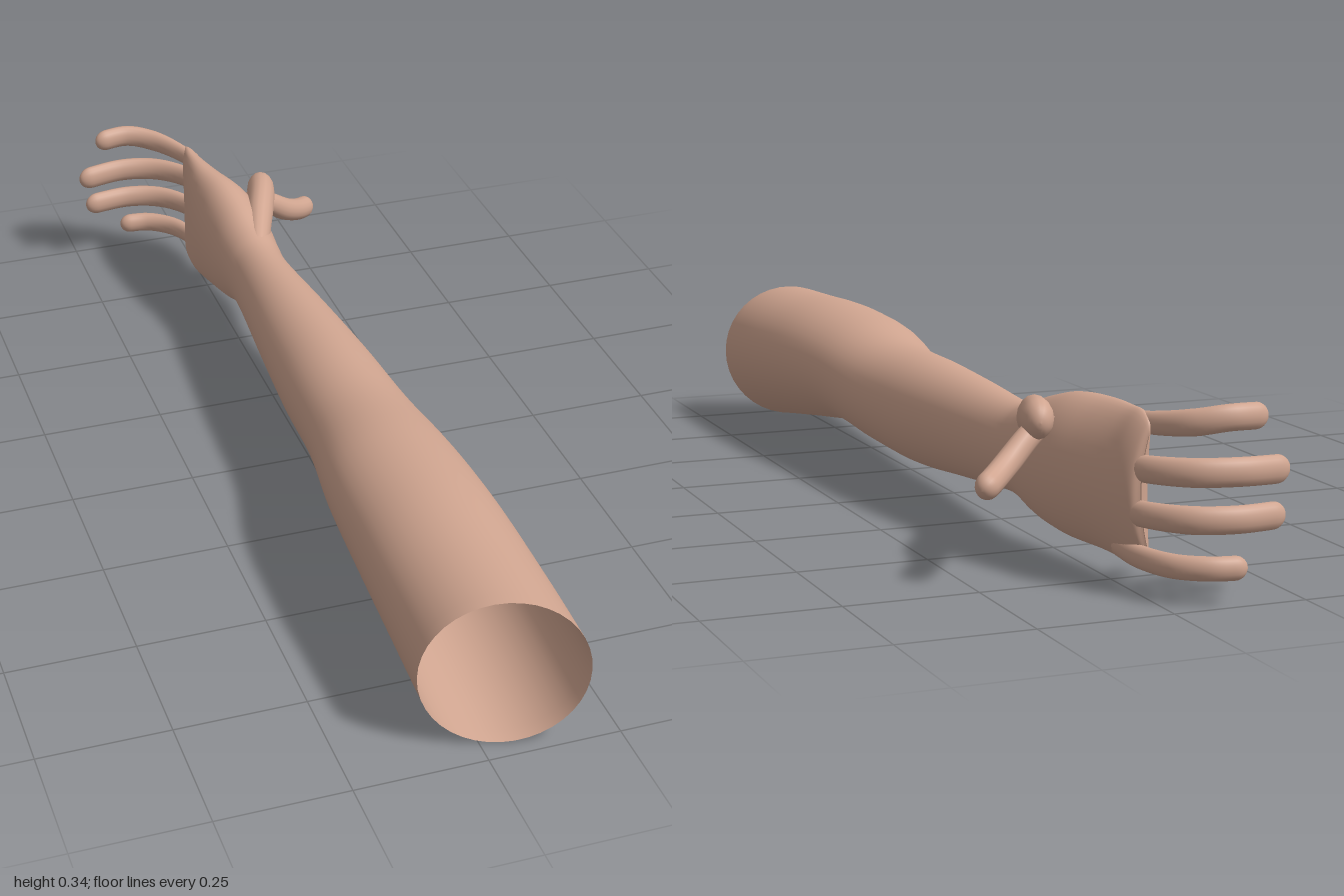
import * as THREE from 'three';

const skin = new THREE.MeshStandardMaterial({ color: 0xd0a590, side: THREE.DoubleSide });
skin.name = 'skin';
const V = (x, y, z) => new THREE.Vector3(x, y, z);

// Smooth skin through rings of points, each ring having `sides` points
function loft(name, rings, sides) {
  const index = [];
  for (let i = 0; i < rings.length - 1; i++) {
    for (let j = 0; j < sides; j++) {
      const a = i * sides + j, b = i * sides + (j + 1) % sides;
      index.push(a, a + sides, b, b, a + sides, b + sides);
    }
  }
  const g = new THREE.BufferGeometry().setFromPoints(rings.flat());
  g.setIndex(index);
  g.computeVertexNormals();
  const mesh = new THREE.Mesh(g, skin);
  mesh.name = name;
  return mesh;
}

// Round-tipped digit along a path; wide = across (roughly y), thin = the other way
function digit(name, points, wide, thin, baseScale = 0.9) {
  const curve = new THREE.CatmullRomCurve3(points.map(p => V(...p)));
  const length = curve.getLength(), sides = 16, steps = 30, rings = [];
  const up = V(0, 1, 0);
  for (let i = 0; i <= steps; i++) {
    const t = 1 - (1 - i / steps) ** 1.7; // denser towards the tip
    const c = curve.getPointAt(t), d = curve.getTangentAt(t);
    const u = d.clone().cross(up).normalize(), v = u.clone().cross(d);
    const s = Math.max(0, 1 - (1 - t) * length / (wide * 1.1));
    const r = Math.sqrt(Math.max(0, 1 - s * s)) * THREE.MathUtils.lerp(baseScale, 1, Math.min(1, t * 2));
    rings.push(Array.from({ length: sides }, (_, j) => {
      const a = j / sides * Math.PI * 2;
      return c.clone().addScaledVector(u, Math.cos(a) * thin * r).addScaledVector(v, Math.sin(a) * wide * r);
    }));
  }
  return loft(name, rings, sides);
}

// Forearm and palm: one open sleeve, closed at the knuckles
function forearmAndPalm() {
  // z, xMin, xMax, yMin, yMax, cupping of the palm
  const sections = [
    [0.96, -0.11, 0.187, 0.003, 0.308, 0],
    [0.8, -0.109, 0.187, 0.028, 0.313, 0],
    [0.6, -0.107, 0.182, 0.057, 0.319, 0],
    [0.4, -0.098, 0.171, 0.08, 0.31, 0],
    [0.2, -0.069, 0.157, 0.071, 0.287, 0],
    [0, -0.06, 0.143, 0.065, 0.284, 0],
    [-0.2, -0.048, 0.122, 0.079, 0.276, 0],
    [-0.4, -0.033, 0.097, 0.093, 0.266, 0],
    [-0.48, -0.034, 0.096, 0.09, 0.276, 0],
    [-0.56, -0.043, 0.1, 0.068, 0.303, -0.005],
    [-0.64, -0.05, 0.092, 0.055, 0.322, -0.01],
    [-0.72, -0.05, 0.068, 0.049, 0.324, -0.018],
    [-0.79, -0.038, 0.045, 0.045, 0.322, -0.02],
    [-0.835, -0.026, 0.032, 0.046, 0.32, -0.02],
    [-0.86, -0.014, 0.018, 0.06, 0.305, -0.018],
    [-0.868, 0.0, 0.002, 0.08, 0.285, -0.015],
  ];
  const xs = new THREE.CatmullRomCurve3(sections.map(s => V(s[1], s[2], s[0])), false, 'catmullrom', 0.5);
  const ys = new THREE.CatmullRomCurve3(sections.map(s => V(s[3], s[4], s[5])), false, 'catmullrom', 0.5);
  const sides = 40, steps = 90, rings = [];
  for (let i = 0; i <= steps; i++) {
    const t = i / steps, p = xs.getPoint(t), q = ys.getPoint(t);
    const slant = THREE.MathUtils.smoothstep(p.z, 0.6, 0.96) * 0.24;
    rings.push(Array.from({ length: sides }, (_, j) => {
      const a = j / sides * Math.PI * 2, c = Math.cos(a), s = Math.sin(a);
      const x = (p.x + p.y) / 2 + c * (p.y - p.x) / 2 + q.z * s * s;
      const y = (q.x + q.y) / 2 + s * (q.y - q.x) / 2;
      return V(x, y, p.z + (x - 0.03) * slant); // obliquely cut open end
    }));
  }
  return loft('forearmAndPalm', rings, sides);
}

export function createModel() {
  const group = new THREE.Group();
  group.name = 'arm';
  group.add(forearmAndPalm());

  // Four fingers curling towards -x
  group.add(
    digit('indexFinger', [[-0.005, 0.296, -0.79], [-0.03, 0.3, -0.855], [-0.075, 0.308, -0.913],
      [-0.13, 0.317, -0.938], [-0.206, 0.315, -0.93]], 0.024, 0.016, 0.75),
    digit('middleFinger', [[0.012, 0.222, -0.79], [-0.005, 0.224, -0.865], [-0.065, 0.225, -0.93],
      [-0.14, 0.225, -0.952], [-0.246, 0.221, -0.938]], 0.026, 0.016),
    digit('ringFinger', [[0.012, 0.145, -0.79], [-0.002, 0.146, -0.87], [-0.055, 0.146, -0.94],
      [-0.125, 0.146, -0.966], [-0.23, 0.145, -0.955]], 0.025, 0.016),
    digit('littleFinger', [[0.005, 0.075, -0.79], [0, 0.07, -0.86], [-0.03, 0.067, -0.935],
      [-0.08, 0.067, -0.975], [-0.144, 0.066, -0.985]], 0.022, 0.016));

  // Thumb on the +x side with the muscle ridge that carries it
  group.add(
    digit('thumbMound', [[0.03, 0.235, -0.45], [0.065, 0.262, -0.55], [0.095, 0.281, -0.63],
      [0.112, 0.28, -0.695]], 0.038, 0.03, 0.8),
    digit('thumb', [[0.07, 0.275, -0.63], [0.115, 0.25, -0.65], [0.165, 0.212, -0.675],
      [0.205, 0.19, -0.705], [0.242, 0.178, -0.74]], 0.025, 0.022));
  return group;
}
